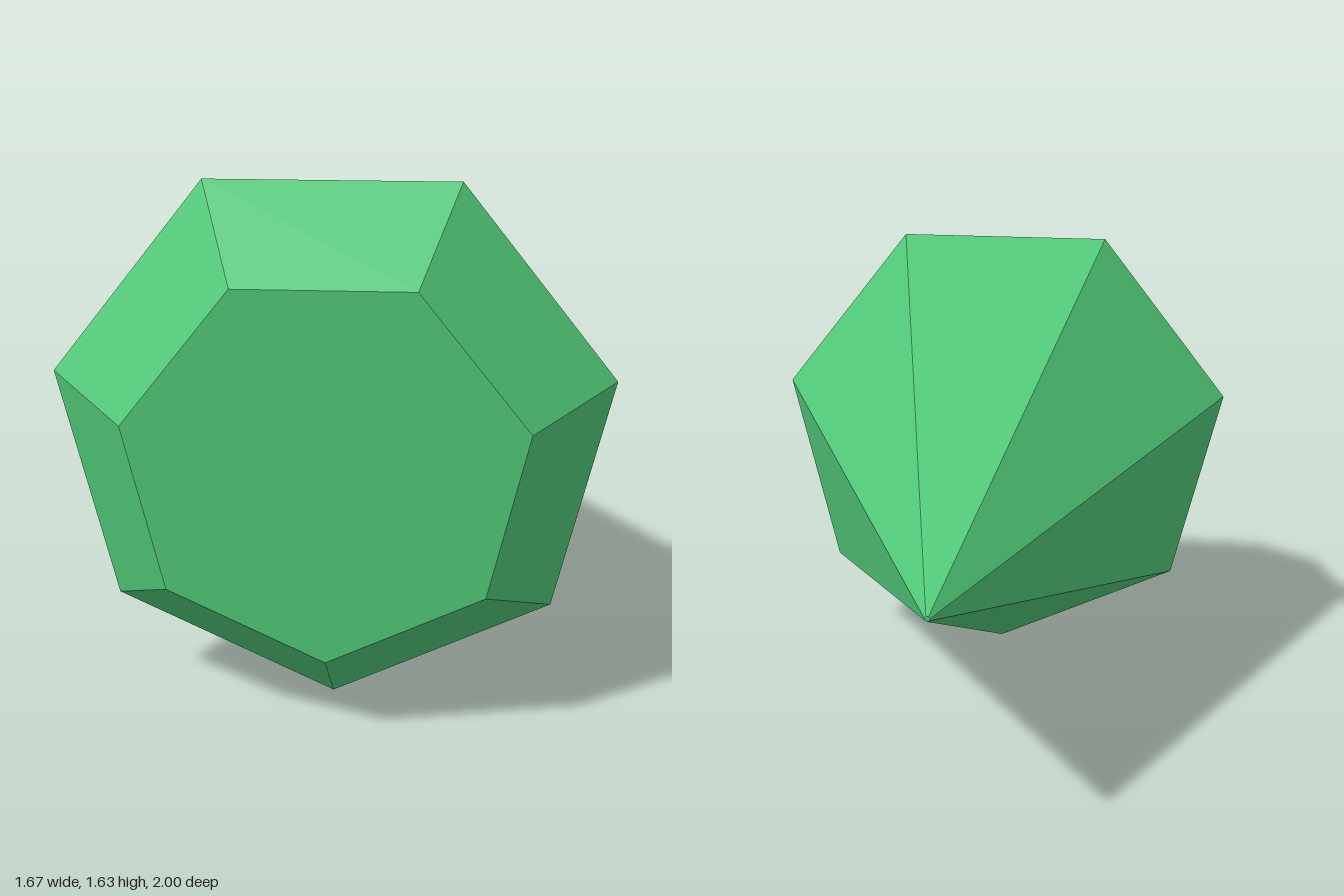
import * as THREE from 'three';

export function createModel() {
  const group = new THREE.Group();
  group.name = 'gem';

  const sides = 7;
  const radius = 0.855;

  // Profile from the pointed back, over the wide girdle, to the flat front table
  const profile = [
    [0, -1],
    [0.009, -1],
    [radius, 0.69],
    [0.587, 1],
    [0, 1],
  ].map(([r, z]) => new THREE.Vector2(r, z));

  // Seven-sided cut stone, laid along z with one corner pointing down
  const lathe = new THREE.LatheGeometry(profile, sides);
  lathe.rotateX(Math.PI / 2);
  lathe.translate(0, radius, 0);
  const geometry = lathe.toNonIndexed();
  geometry.computeVertexNormals();

  const material = new THREE.MeshStandardMaterial({ color: 0x50c878, flatShading: true });
  const stone = new THREE.Mesh(geometry, material);
  stone.name = 'cutStone';
  group.add(stone);

  return group;
}
